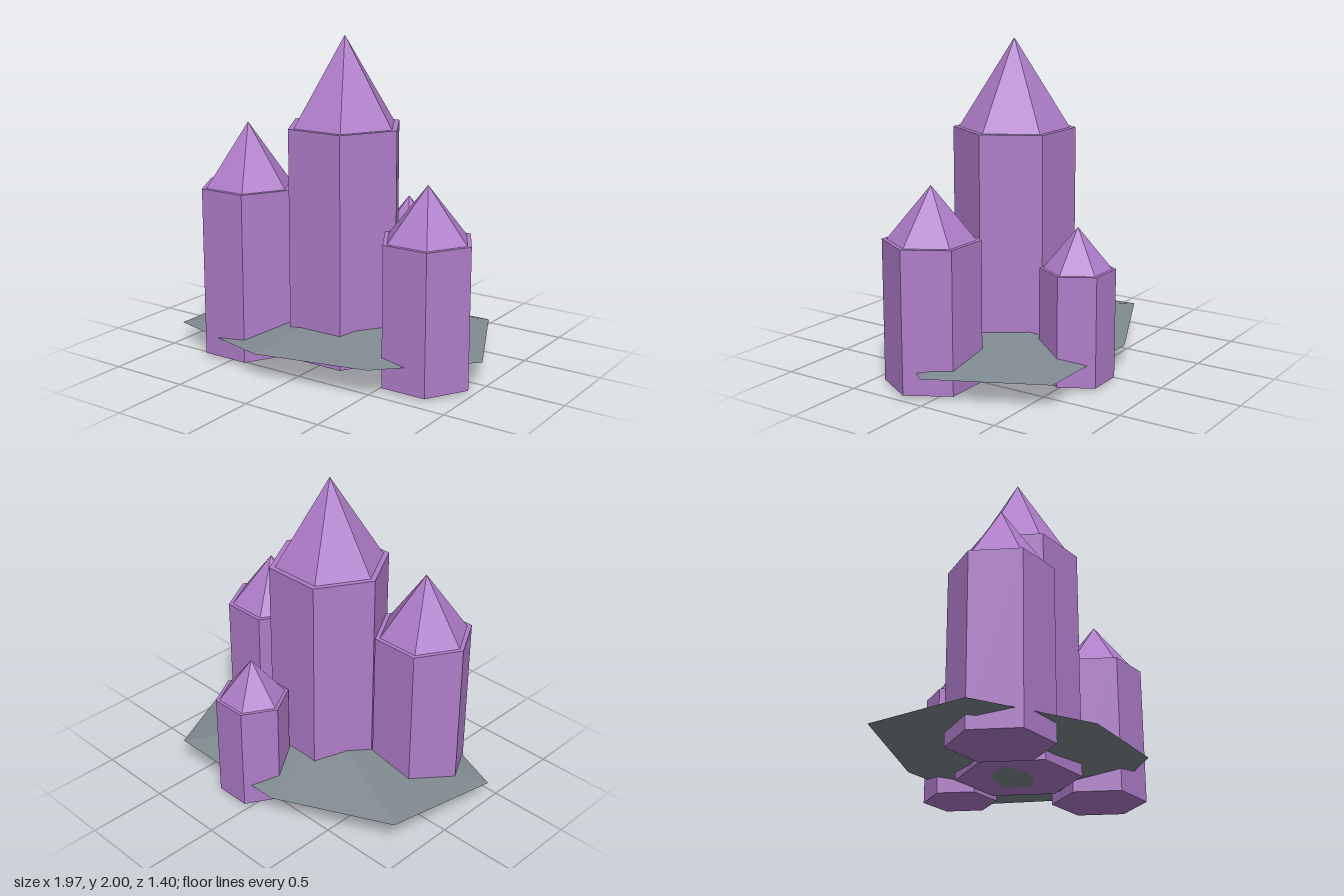
import * as THREE from 'three';

const crystalMat = new THREE.MeshStandardMaterial({ color: 0xaf7dca, flatShading: true });
crystalMat.name = 'amethyst purple';
const rockMat = new THREE.MeshStandardMaterial({ color: 0x7f8a90, flatShading: true });
rockMat.name = 'slate grey';

// Hexagonal prism with a slightly narrower pointed cap
function crystal(name, x, z, radius, bottom, shoulder, tip) {
  const group = new THREE.Group();
  group.name = name;
  group.position.set(x, 0, z);

  const shaft = new THREE.Mesh(
    new THREE.CylinderGeometry(radius, radius, shoulder - bottom, 6).rotateY(Math.PI / 2), crystalMat);
  shaft.name = 'shaft';
  shaft.position.y = (shoulder + bottom) / 2;

  const point = new THREE.Mesh(
    new THREE.ConeGeometry(radius * 0.905, tip - shoulder, 6, 1, true).rotateY(Math.PI / 2), crystalMat);
  point.name = 'point';
  point.position.y = (tip + shoulder) / 2;

  group.add(shaft, point);
  return group;
}

// Flat rock: an uneven seven-sided rim joined to a top and a bottom apex
function rockBase() {
  const rim = [
    [0.98, 0.15, 0.02], [0.55, 0.19, 0.59], [-0.18, 0.163, 0.695], [-0.99, 0.12, 0.42],
    [-0.89, 0.175, -0.34], [-0.17, 0.15, -0.66], [0.66, 0.155, -0.66],
  ];
  const top = [0, 0.325, 0], bottom = [0, 0, 0];
  const pos = [];
  rim.forEach((a, i) => {
    const b = rim[(i + 1) % rim.length];
    pos.push(...top, ...b, ...a, ...bottom, ...a, ...b);
  });
  const geo = new THREE.BufferGeometry();
  geo.setAttribute('position', new THREE.Float32BufferAttribute(pos, 3));
  geo.computeVertexNormals();
  const mesh = new THREE.Mesh(geo, rockMat);
  mesh.name = 'rockBase';
  return mesh;
}

export function createModel() {
  const model = new THREE.Group();
  model.name = 'crystalCluster';
  model.add(
    rockBase(),
    crystal('mainCrystal', 0.01, 0.027, 0.371, 0.028, 1.462, 2.0),
    crystal('rightCrystal', -0.523, 0.292, 0.306, 0.022, 1.075, 1.465),
    crystal('leftCrystal', 0.676, 0.158, 0.29, 0.018, 0.88, 1.2),
    crystal('backCrystal', 0.143, -0.507, 0.225, 0.015, 0.685, 0.935),
  );
  return model;
}
